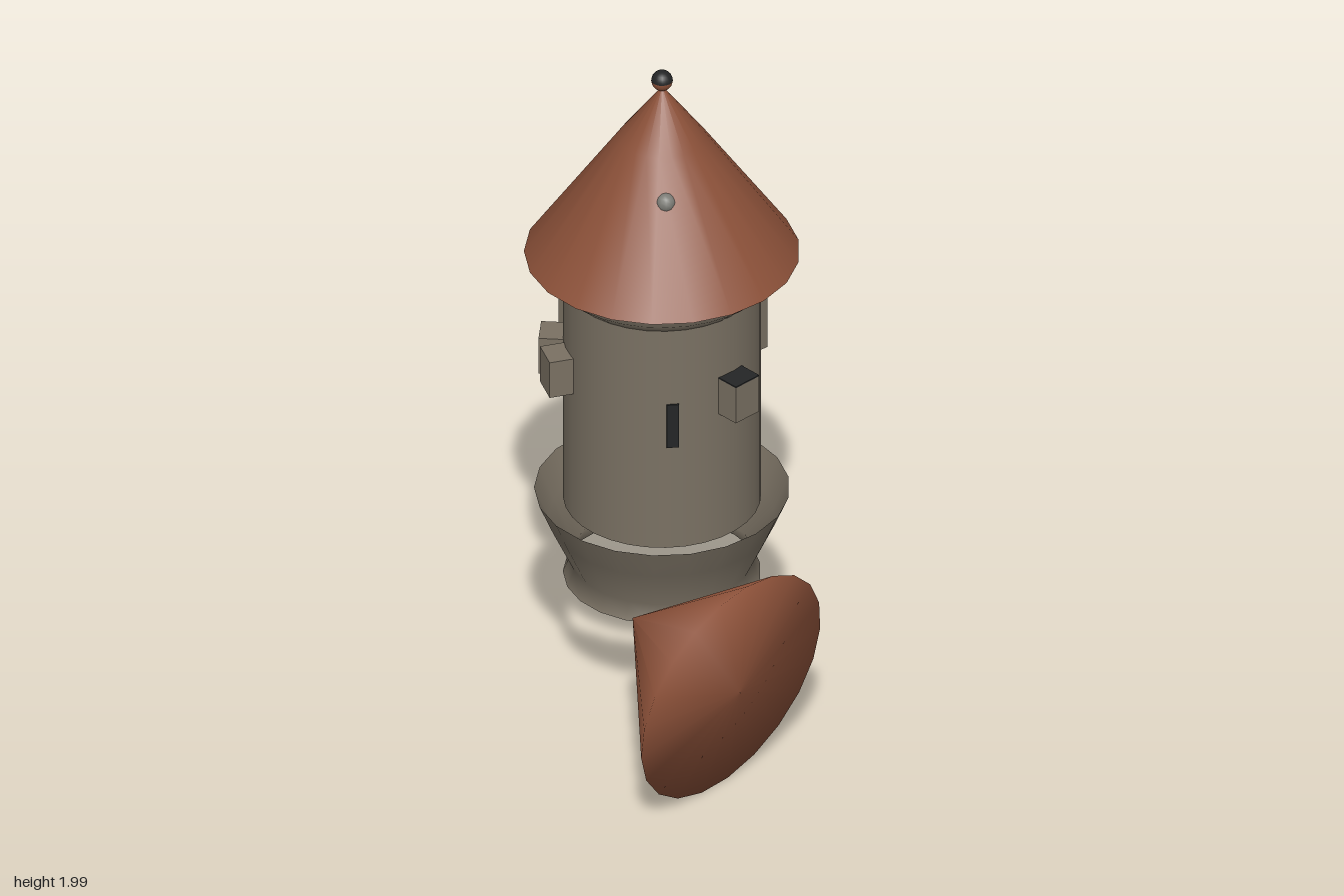
import * as THREE from 'three';

const paint = (name, color, side = THREE.FrontSide) => {
  const m = new THREE.MeshStandardMaterial({ color, side });
  m.name = name;
  return m;
};
const rad = THREE.MathUtils.degToRad;

export function createModel() {
  const stone = paint('stone', 0x7a7163, THREE.DoubleSide);
  const tile = paint('terracotta', 0x8c5139, THREE.DoubleSide);
  const dark = paint('dark', 0x242526);
  const grey = paint('grey', 0x7a7a74);

  const model = new THREE.Group();
  model.name = 'ruinedTower';
  const tower = new THREE.Group();
  tower.name = 'tower';
  tower.position.set(-0.12, 0, -0.15);
  model.add(tower);

  const add = (parent, name, geometry, material) => {
    const mesh = new THREE.Mesh(geometry, material);
    mesh.name = name;
    parent.add(mesh);
    return mesh;
  };
  const lathe = (points, sides) => new THREE.LatheGeometry(
    points.map(([r, y]) => new THREE.Vector2(r, y)), sides, Math.PI / 2);

  // Place a mesh around the tower, its depth pointing outwards
  const around = (name, geometry, material, azimuth, r, y) => {
    const mesh = add(tower, name, geometry, material);
    const a = rad(azimuth);
    mesh.position.set(Math.sin(a) * r, y, Math.cos(a) * r);
    mesh.rotation.y = a;
    return mesh;
  };

  // Walls, flared open skirt below, cornice above
  add(tower, 'wall', lathe([[0.275, 0.61], [0.275, 1.33]], 32), stone);
  add(tower, 'skirt', lathe([[0.275, 0.36], [0.255, 0.41], [0.315, 0.54], [0.355, 0.635]], 21), stone);
  add(tower, 'cornice', lathe([[0.275, 1.32], [0.32, 1.36], [0.32, 1.412]], 32), stone);

  // Roof, open underneath, with a two-tone ball on top
  add(tower, 'roof', lathe([[0.383, 1.41], [0.12, 1.79], [0.001, 1.95]], 21), tile);
  const half = (name, start, material) => {
    const g = new THREE.SphereGeometry(0.03, 16, 8, 0, Math.PI * 2, start, Math.PI / 2);
    add(tower, name, g, material).position.y = 1.97;
  };
  half('finialTop', 0, dark);
  half('finialBottom', Math.PI / 2, tile);

  // Small studs showing through the roof
  for (const az of [46, -138]) {
    around('roofStud', new THREE.SphereGeometry(0.03, 12, 8), grey, az, 0.175, 1.68);
  }

  // Door at the back and arrow slits at the front
  around('door', new THREE.BoxGeometry(0.178, 0.45, 0.03), dark, 180, 0.264, 0.835);
  for (const az of [49, -53]) {
    around('arrowSlit', new THREE.BoxGeometry(0.034, 0.14, 0.02), dark, az, 0.269, 1.01);
  }

  // Blocks jutting from the wall: azimuth, height
  const blocks = [[87, 0.115], [-30, 0.115], [-52, 0.115], [-88, 0.17],
    [-108, 0.17], [-122, 0.115], [172, 0.19]];
  for (const [az, h] of blocks) {
    around('wallBlock', new THREE.BoxGeometry(0.09, h, 0.1), stone, az, 0.29, 1.076);
  }
  around('blockCover', new THREE.BoxGeometry(0.09, 0.004, 0.1), dark, 87, 0.29, 1.1355);

  // Fallen roof lying against the tower, with a slightly domed base
  const fallen = add(model, 'fallenRoof',
    lathe([[0.001, -0.035], [0.36, 0], [0.001, 0.376]], 21), tile);
  fallen.position.set(0.432, 0.365, 0.165);
  fallen.quaternion.setFromUnitVectors(
    new THREE.Vector3(0, 1, 0), new THREE.Vector3(-0.37, 0.065, 0).normalize());

  return model;
}
